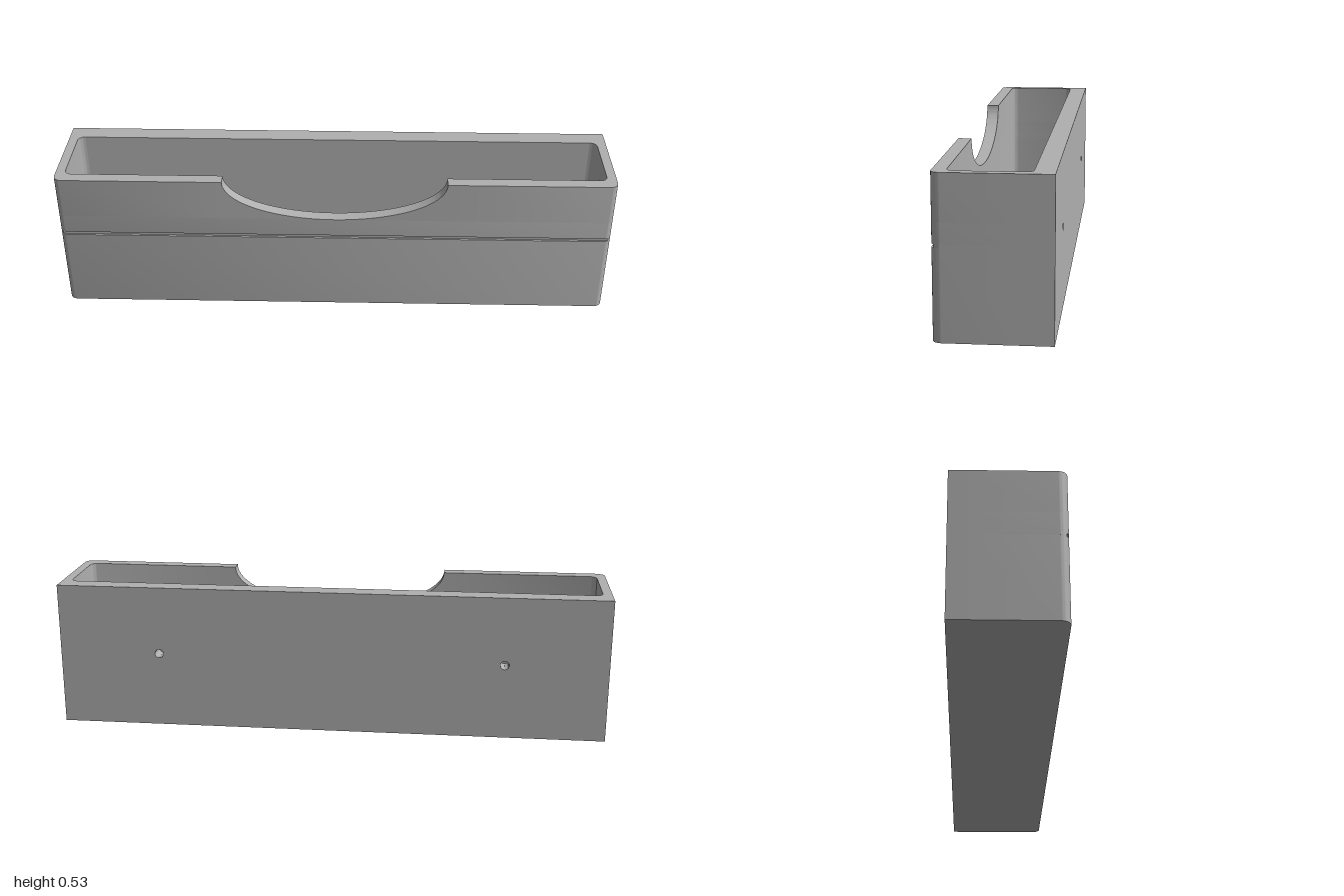
import * as THREE from 'three';
import { toCreasedNormals } from 'three/addons/utils/BufferGeometryUtils.js';

const H = 0.527, BACK = -0.187, FRONT = 0.187;   // outer size
const IN_X = 0.967, IN_BACK = -0.12, IN_FRONT = 0.142, FLOOR = 0.033; // cavity
const R = 0.03, RI = 0.025;                      // outer and inner corner radii
const G0 = 0.295, G1 = 0.307, GROOVE_Z = 0.18;   // groove across the front
const SCOOP_X = 0.4, SCOOP_Y = 0.152;            // half-ellipse cut-out

// Arc points in the x/z plane
function arc(cx, cz, r, a0, a1, n = 10) {
  return Array.from({ length: n + 1 }, (_, i) => {
    const a = a0 + (a1 - a0) * i / n;
    return [cx + r * Math.cos(a), cz + r * Math.sin(a)];
  });
}

// Plan outline of the side and front walls on the +x half, down to x = xCut
function halfWall(xCut, zFront) {
  const zc = FRONT - R, end = Math.asin(Math.min(1, (zFront - zc) / R));
  const outer = [[1, IN_BACK], ...arc(1 - R, zc, R, 0, end)];
  const inner = [
    ...arc(IN_X - RI, IN_FRONT - RI, RI, Math.PI / 2, 0),
    ...arc(IN_X - RI, IN_BACK + RI, RI, 0, -Math.PI / 2),
  ];
  if (xCut > 0) {
    outer.push([xCut, zFront]);
    inner.unshift([xCut, IN_FRONT]);
  }
  return { outer, inner };
}

const mirror = (pts) => pts.map(([x, z]) => [-x, z]);

// Extrude an x/z outline from y0 to y1
function extrudeUp(pts, y0, y1) {
  const shape = new THREE.Shape(pts.map(([x, z]) => new THREE.Vector2(x, -z)));
  const g = new THREE.ExtrudeGeometry(shape, { depth: y1 - y0, bevelEnabled: false });
  g.rotateX(-Math.PI / 2).translate(0, y0, 0);
  return toCreasedNormals(g, 0.6);
}

// Extrude an x/y shape from z0 to z1
function extrudeForward(shape, z0, z1) {
  const g = new THREE.ExtrudeGeometry(shape, { depth: z1 - z0, bevelEnabled: false, curveSegments: 40 });
  g.translate(0, 0, z0);
  return toCreasedNormals(g, 0.6);
}

export function createModel() {
  const group = new THREE.Group();
  const grey = new THREE.MeshStandardMaterial({ color: 0xb0b0b0 });
  grey.name = 'grey';
  const add = (name, geometry) => {
    const mesh = new THREE.Mesh(geometry, grey);
    mesh.name = name;
    group.add(mesh);
  };

  // Floor of the tray
  const floor = new THREE.BoxGeometry(2 * IN_X, FLOOR, IN_FRONT - IN_BACK);
  floor.translate(0, FLOOR / 2, (IN_FRONT + IN_BACK) / 2);
  add('floor', floor);

  // Back wall with two screw holes
  const back = new THREE.Shape();
  back.moveTo(-1, 0).lineTo(1, 0).lineTo(1, H).lineTo(-1, H).closePath();
  for (const s of [-1, 1]) {
    back.holes.push(new THREE.Path().absarc(s * 0.63, 0.277, 0.016, 0, Math.PI * 2, true));
  }
  add('backWall', extrudeForward(back, BACK, IN_BACK));

  // Side and front walls, stepped in at the groove
  const scoopBottom = H - SCOOP_Y;
  const layers = [
    ['lowerWalls', 0, G0, FRONT],
    ['grooveWalls', G0, G1, GROOVE_Z],
    ['middleWalls', G1, scoopBottom, FRONT],
  ];
  for (const [name, y0, y1, zFront] of layers) {
    const { outer, inner } = halfWall(0, zFront);
    const outline = [...outer, ...mirror(outer).reverse(), ...mirror(inner).reverse(), ...inner.slice().reverse()];
    // the inner run goes from the -x back corner round to the +x back corner
    add(name, extrudeUp(outline.slice(0, 2 * outer.length)
      .concat(mirror(inner).reverse(), inner), y0, y1));
  }

  // Upper walls either side of the scoop
  const { outer, inner } = halfWall(SCOOP_X, FRONT);
  const end = [...outer, ...inner];
  add('upperWallLeft', extrudeUp(end, scoopBottom, H));
  add('upperWallRight', extrudeUp(mirror(end), scoopBottom, H));

  // Curved fillers that shape the finger scoop
  for (const s of [-1, 1]) {
    const shape = new THREE.Shape();
    shape.moveTo(0, scoopBottom).lineTo(s * SCOOP_X, scoopBottom).lineTo(s * SCOOP_X, H);
    for (let i = 1; i < 40; i++) {
      const a = (i / 40) * Math.PI / 2;
      shape.lineTo(s * SCOOP_X * Math.cos(a), H - SCOOP_Y * Math.sin(a));
    }
    shape.closePath();
    add(s > 0 ? 'scoopEdgeLeft' : 'scoopEdgeRight', extrudeForward(shape, IN_FRONT, FRONT));
  }
  return group;
}
